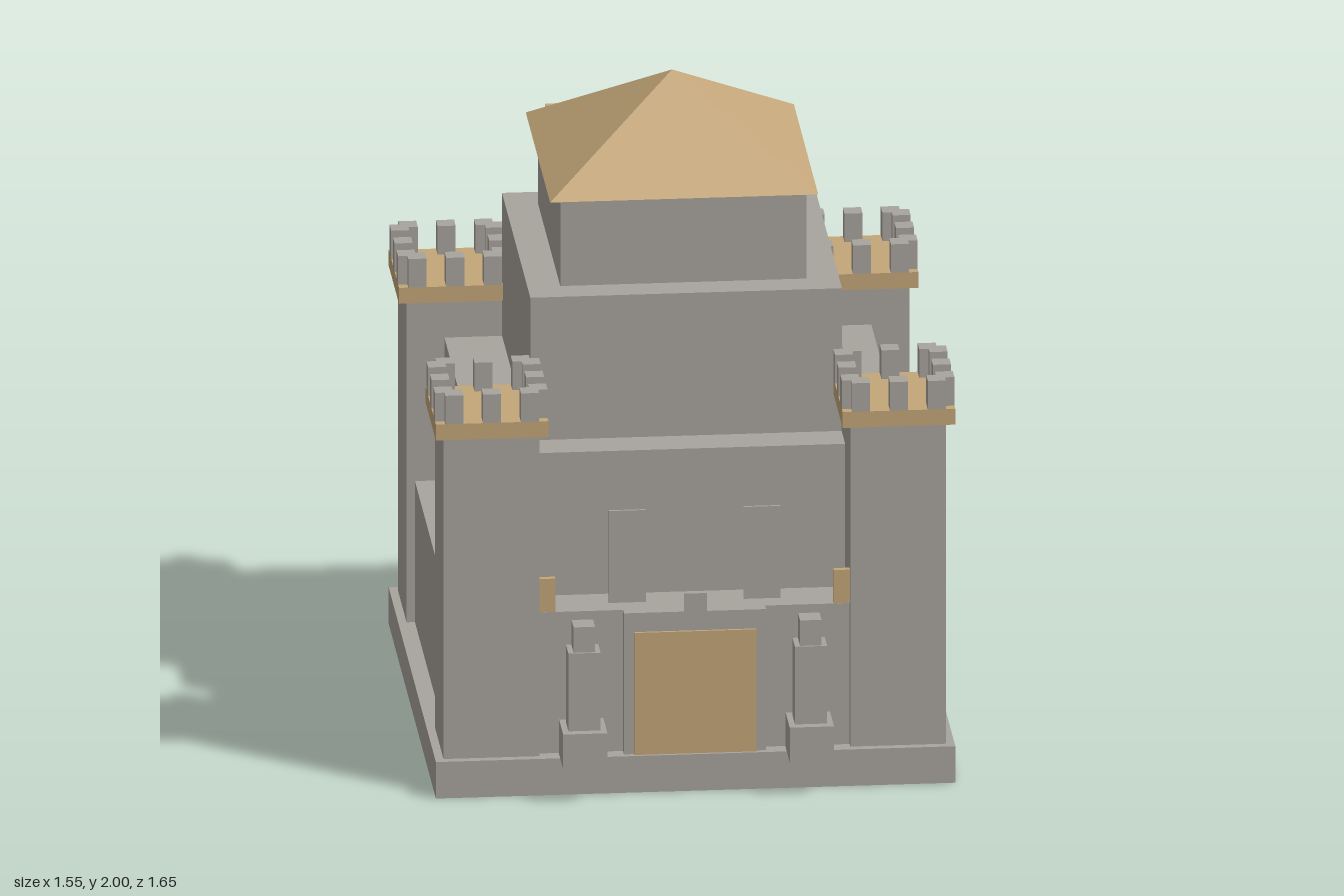
import * as THREE from 'three';

export function createModel() {
  const model = new THREE.Group();
  model.name = 'castle';
  const stone = new THREE.MeshStandardMaterial({ color: 0xa8a39d });
  stone.name = 'grey stone';
  const timber = new THREE.MeshStandardMaterial({ color: 0xc4a679 });
  timber.name = 'tan timber';

  // Box given by its minimum and maximum on each axis
  function block(name, material, [x0, x1], [y0, y1], [z0, z1], parent = model) {
    const mesh = new THREE.Mesh(new THREE.BoxGeometry(x1 - x0, y1 - y0, z1 - z0), material);
    mesh.position.set((x0 + x1) / 2, (y0 + y1) / 2, (z0 + z1) / 2);
    mesh.name = name;
    parent.add(mesh);
    return mesh;
  }
  const around = (centre, half) => [centre - half, centre + half];

  // Base and stepped keep
  block('base', stone, around(0, 0.775), [0, 0.115], [-0.825, 0.725]);
  block('lowerTier', stone, around(0, 0.725), [0.115, 0.56], [-0.78, 0.677]);
  block('middleTier', stone, around(0, 0.637), [0.56, 1.01], [-0.633, 0.53]);
  block('upperTier', stone, around(0, 0.465), [1.01, 1.46], [-0.515, 0.415]);
  block('topRoom', stone, around(0, 0.367), [1.46, 1.735], [-0.418, 0.32]);

  // Pyramid roof: four-sided cone turned square to the walls
  const roofShape = new THREE.ConeGeometry(0.4 * Math.SQRT2, 0.265, 4, 1).toNonIndexed();
  roofShape.rotateY(Math.PI / 4);
  roofShape.computeVertexNormals();
  const roof = new THREE.Mesh(roofShape, timber);
  roof.position.set(0, 1.8675, -0.05);
  roof.name = 'roof';
  model.add(roof);

  // Corner towers with a cap and three merlons along each edge
  for (const x of [-0.607, 0.607]) {
    for (const z of [-0.655, 0.557]) {
      const tower = new THREE.Group();
      tower.name = 'tower';
      tower.position.set(x, 0, z);
      model.add(tower);
      const shaft = around(0, 0.143);
      block('towerShaft', stone, shaft, [0.115, 1.13], shaft, tower);
      const cap = around(0, 0.168);
      block('towerCap', timber, cap, [1.13, 1.18], cap, tower);
      for (const side of [-1, 1]) {
        for (const step of [-0.113, 0, 0.113]) {
          const along = around(step, 0.027), edge = around(side * 0.141, 0.027);
          block('merlon', stone, along, [1.18, 1.27], edge, tower);
          block('merlon', stone, edge, [1.18, 1.27], along, tower);
        }
      }
    }
  }

  // Doorway
  block('doorFrame', stone, around(0, 0.212), [0.115, 0.56], [0.67, 0.708]);
  block('door', timber, around(0, 0.182), [0.115, 0.5], [0.708, 0.716]);
  block('keystone', stone, around(0, 0.034), [0.56, 0.62], [0.71, 0.718]);

  // Paired details on both sides of the door
  for (const side of [-1, 1]) {
    block('windowPlate', stone, around(side * 0.201, 0.055), [0.59, 0.88], [0.688, 0.696]);
    block('wallBracket', timber, around(side * 0.44, 0.025), [0.565, 0.67], [0.672, 0.69]);
    const statue = new THREE.Group();
    statue.name = 'statue';
    statue.position.set(side * 0.338, 0, 0.757);
    model.add(statue);
    block('pedestal', stone, around(0, 0.066), [0.115, 0.225], around(0, 0.067), statue);
    block('statueBody', stone, around(0, 0.048), [0.225, 0.47], around(0, 0.04), statue);
    block('statueHead', stone, around(0, 0.032), [0.47, 0.55], around(0, 0.033), statue);
  }

  // Chimneys: centre x, centre z, foot and top of the shaft
  for (const [x, z, foot, top] of [[0.335, -0.453, 1.46, 1.58], [-0.27, -0.497, 1.01, 1.69]]) {
    block('chimney', stone, around(x, 0.049), [foot, top], around(z, 0.049));
    block('chimneyCap', timber, around(x, 0.061), [top, top + 0.032], around(z, 0.062));
  }
  return model;
}
